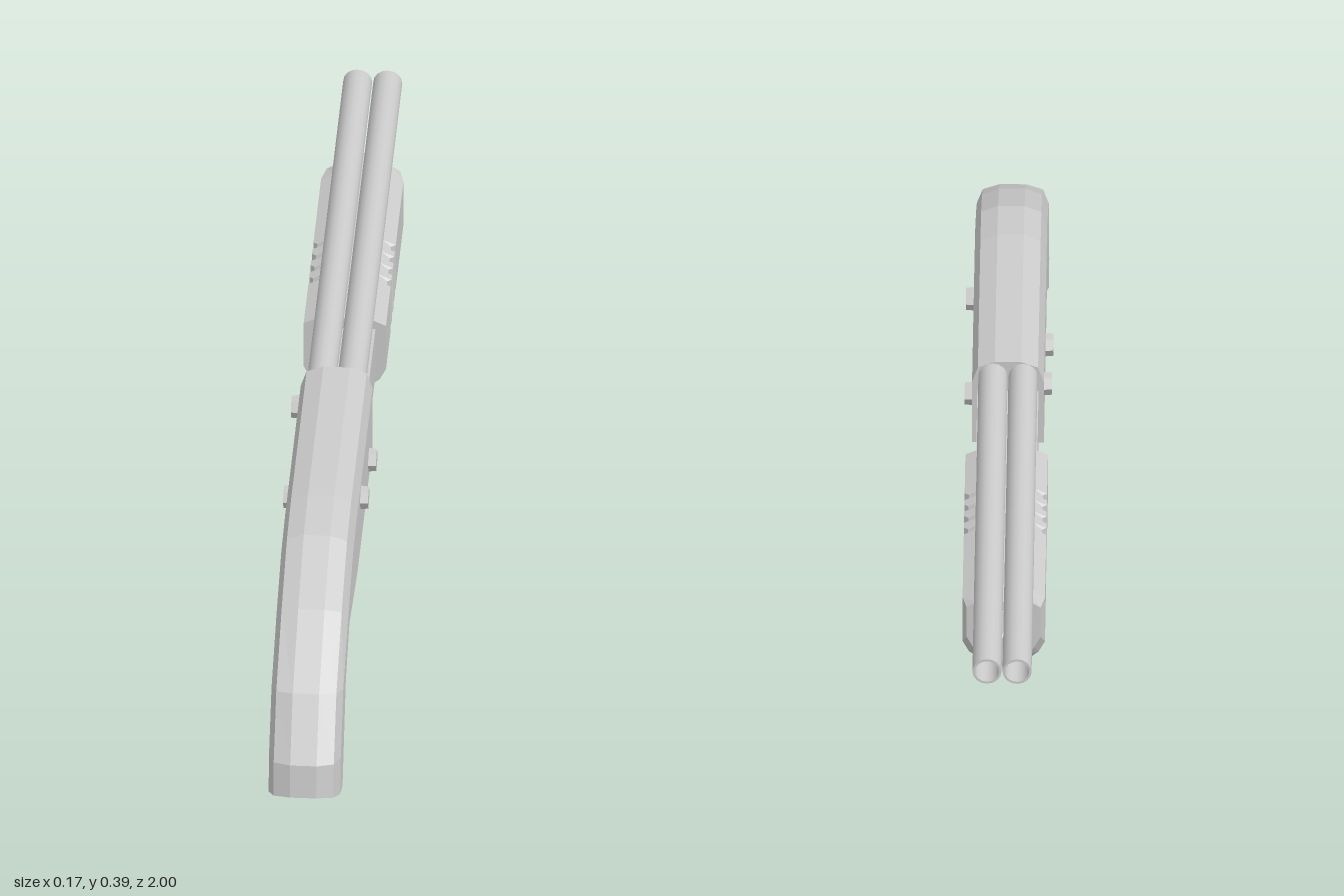
import * as THREE from 'three';

const material = new THREE.MeshStandardMaterial({ color: 0xcccccc, flatShading: true, side: THREE.DoubleSide });
const smooth = new THREE.MeshStandardMaterial({ color: 0xcccccc, side: THREE.DoubleSide });

// Mirror a half section [x, y, z] (listed top to bottom on +x) into a full ring
const mirrorRing = (half) => [...half, ...[...half].reverse().map(([x, y, z]) => [-x, y, z])];

// Skin rings ordered by increasing z, with capped ends
function loft(rings) {
  const pos = [];
  const tri = (a, b, c) => pos.push(...a, ...b, ...c);
  const n = rings[0].length;
  for (let i = 0; i < rings.length - 1; i++) {
    for (let j = 0; j < n; j++) {
      const k = (j + 1) % n;
      const [a, b, c, d] = [rings[i][j], rings[i][k], rings[i + 1][k], rings[i + 1][j]];
      tri(a, d, c);
      tri(a, c, b);
    }
  }
  const first = rings[0], last = rings[rings.length - 1];
  for (let j = 1; j < n - 1; j++) {
    tri(first[0], first[j], first[j + 1]);
    tri(last[0], last[j + 1], last[j]);
  }
  const g = new THREE.BufferGeometry();
  g.setAttribute('position', new THREE.Float32BufferAttribute(pos, 3));
  g.computeVertexNormals();
  return g;
}

// Section spanning a top point and a bottom point [z, y]; bevel rounds the underside
function bodyRing([tz, ty, bz, by, bevel]) {
  const len = Math.hypot(tz - bz, ty - by);
  const at = (x, d) => {
    const t = d / len;
    return [x, ty + (by - ty) * t, tz + (bz - tz) * t];
  };
  return mirrorRing([
    at(0.025, 0), at(0.057, 0.012), at(0.068, 0.045),
    at(0.068, len - 0.03 * bevel), at(0.068 - 0.011 * bevel, len - 0.008 * bevel), at(0.025, len),
  ]);
}

// Extrude a side profile of [z, y] points across x, centred
function sidePlate(points, width) {
  const shape = new THREE.Shape(points.map(([z, y]) => new THREE.Vector2(-z, y)));
  const g = new THREE.ExtrudeGeometry(shape, { depth: width, bevelEnabled: false });
  g.translate(0, 0, -width / 2);
  g.rotateY(Math.PI / 2);
  return g;
}

export function createModel() {
  const model = new THREE.Group();
  const add = (name, geometry, mat = material) => {
    const mesh = new THREE.Mesh(geometry, mat);
    mesh.name = name;
    model.add(mesh);
    return mesh;
  };

  // Receiver flowing into the curved grip: top z, top y, bottom z, bottom y, bevel
  add('receiverAndGrip', loft([
    [0.035, 0.395, 0.035, 0.215, 0],
    [0.48, 0.395, 0.46, 0.215, 0],
    [0.6, 0.383, 0.57, 0.222, 0.3],
    [0.76, 0.32, 0.675, 0.228, 1],
    [0.915, 0.23, 0.77, 0.18, 1],
    [0.99, 0.116, 0.82, 0.09, 1],
    [1.0, 0.05, 0.865, 0.002, 1],
  ].map(bodyRing)));

  // Twin hollow barrels
  const tube = [[0.023, 0.06], [0.0275, 0.06], [0.0275, -1], [0.023, -1], [0.023, 0.06]];
  const wall = (a, b) => new THREE.LatheGeometry([a, b].map(([r, z]) => new THREE.Vector2(r, z)), 16);
  for (const side of [1, -1]) {
    const barrel = new THREE.Group();
    barrel.name = side > 0 ? 'leftBarrel' : 'rightBarrel';
    for (let i = 0; i < 4; i++) {
      const part = new THREE.Mesh(wall(tube[i + 1], tube[i]), smooth);
      part.name = ['breechRim', 'outerWall', 'muzzleRim', 'bore'][i];
      barrel.add(part);
    }
    barrel.rotation.x = Math.PI / 2;
    barrel.position.set(side * 0.0285, 0.364, 0);
    model.add(barrel);
  }

  // Connecting block under the barrels
  const block = add('connectingBlock', new THREE.BoxGeometry(0.116, 0.105, 0.26));
  block.position.set(0, 0.2775, -0.08);

  // Ribbed fore grip with a chamfered nose
  const foreRing = ([z, w, yb]) => mirrorRing([
    [0.052, 0.35, z], [w, 0.338, z], [w, yb + 0.04, z], [w - 0.012, yb + 0.017, z], [0.045, yb, z],
  ]);
  const foreSections = [[-0.735, 0.07, 0.232], [-0.7, 0.078, 0.2]];
  for (let i = 0; i < 4; i++) {
    const z = -0.48 + i * 0.04;
    foreSections.push([z, 0.078, 0.2], [z + 0.006, 0.07, 0.2], [z + 0.018, 0.07, 0.2], [z + 0.024, 0.078, 0.2]);
  }
  foreSections.push([-0.2, 0.078, 0.2]);
  add('foreGrip', loft(foreSections.map(foreRing)));

  // Small nose block ahead of the fore grip
  const noseRing = ([z, w, inset]) => mirrorRing([
    [w - 0.012, 0.33 - inset, z], [w, 0.318 - inset, z], [w, 0.262 + inset, z], [w - 0.012, 0.25 + inset, z],
  ]);
  add('noseBlock', loft([[-0.818, 0.036, 0.008], [-0.805, 0.045, 0], [-0.72, 0.045, 0]].map(noseRing)));

  // Trigger guard strap
  const outer = [[0.45, 0.225], [0.5, 0.195], [0.535, 0.165], [0.57, 0.152], [0.605, 0.151], [0.64, 0.166], [0.661, 0.19], [0.666, 0.225]];
  const inner = [[0.657, 0.225], [0.652, 0.193], [0.634, 0.173], [0.603, 0.16], [0.572, 0.161], [0.545, 0.175], [0.525, 0.2], [0.515, 0.225]];
  add('triggerGuard', sidePlate([...outer, ...inner], 0.06));

  // Curved trigger
  add('trigger', sidePlate([
    [0.645, 0.23], [0.635, 0.198], [0.618, 0.178], [0.6, 0.168],
    [0.6, 0.173], [0.612, 0.184], [0.624, 0.203], [0.628, 0.23],
  ], 0.02));

  // Hexagonal bolts: side, z, y
  const bolts = [[1, 0.37, 0.322], [1, 0.14, 0.257], [-1, 0.07, 0.325], [-1, 0.295, 0.268]];
  for (const [side, z, y] of bolts) {
    const bolt = add('bolt', new THREE.CylinderGeometry(0.021, 0.023, 0.025, 6));
    bolt.rotation.z = -side * Math.PI / 2;
    bolt.position.set(side * 0.0705, y, z);
  }

  return model;
}
